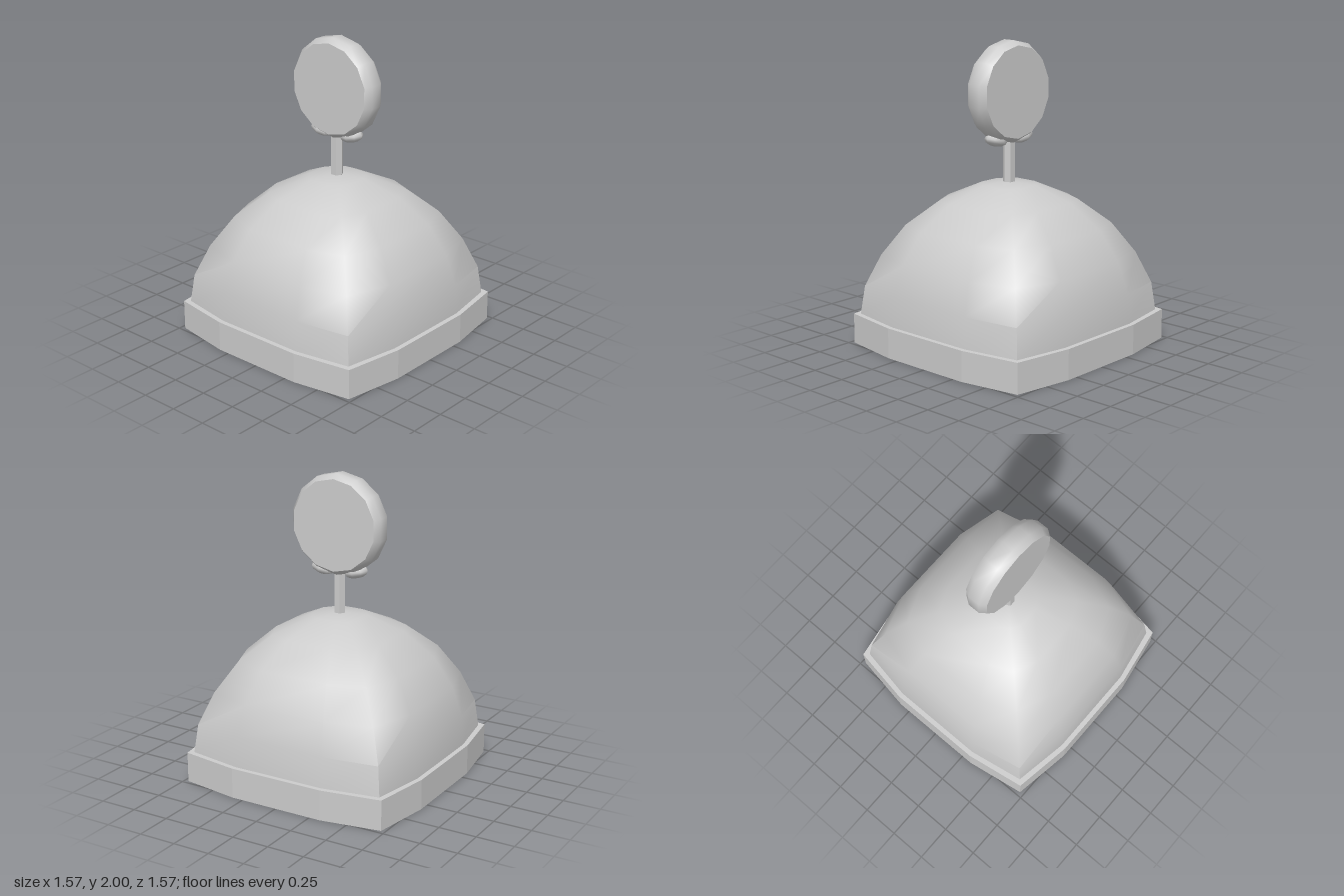
import * as THREE from 'three';
import { toCreasedNormals } from 'three/addons/utils/BufferGeometryUtils.js';

// Twelve-sided bulged square as [x, z]: m = mid-side reach, c = corner reach, w = half width of the mid side
function bulgedSquare(m, c, w) {
  const pts = [];
  for (let i = 0; i < 4; i++) {
    const cos = Math.round(Math.cos(i * Math.PI / 2));
    const sin = Math.round(Math.sin(i * Math.PI / 2));
    for (const [x, z] of [[-w, m], [w, m], [c, c]]) {
      pts.push([x * cos + z * sin, -x * sin + z * cos]);
    }
  }
  return pts;
}

// Dome skinned over bulged square rings, closed by an apex
function domeGeometry() {
  // [mid height, mid reach, corner reach, corner height]
  const rings = [
    [0.2, 0.755, 0.69, 0.2], [0.4, 0.742, 0.668, 0.39], [0.6, 0.683, 0.59, 0.6],
    [0.8, 0.568, 0.475, 0.8], [0.965, 0.387, 0.318, 0.96], [1.068, 0.168, 0.13, 1.066],
  ];
  const n = 12, pos = [], idx = [];
  for (const [y, m, c, cy] of rings) {
    bulgedSquare(m, c, m * 0.424).forEach(([x, z], i) => pos.push(x, i % 3 === 2 ? cy : y, z));
  }
  pos.push(0, 1.086, 0);
  const apex = rings.length * n;
  for (let i = 0; i < n; i++) {
    const k = (i + 1) % n;
    for (let r = 0; r < rings.length - 1; r++) {
      const a = r * n + i, b = r * n + k;
      idx.push(a, b, b + n, a, b + n, a + n);
    }
    idx.push(apex - n + i, apex - n + k, apex);
  }
  const g = new THREE.BufferGeometry();
  g.setAttribute('position', new THREE.Float32BufferAttribute(pos, 3));
  g.setIndex(idx);
  return toCreasedNormals(g, Math.PI / 3);
}

export function createModel() {
  const model = new THREE.Group();
  const grey = new THREE.MeshStandardMaterial({ color: 0xcccccc });
  grey.name = 'light grey';
  const add = (name, geometry) => {
    const mesh = new THREE.Mesh(geometry, grey);
    mesh.name = name;
    model.add(mesh);
    return mesh;
  };

  // Flat plinth
  const outline = bulgedSquare(0.787, 0.722, 0.325).map(([x, z]) => new THREE.Vector2(x, -z));
  const plinth = new THREE.ExtrudeGeometry(new THREE.Shape(outline), { depth: 0.2, bevelEnabled: false });
  plinth.rotateX(-Math.PI / 2);
  add('base', plinth);

  add('dome', domeGeometry());

  // Hexagonal post
  add('post', new THREE.CylinderGeometry(0.04, 0.04, 0.34, 6).toNonIndexed())
    .position.y = 1.23;
  const post = model.getObjectByName('post');
  post.geometry = toCreasedNormals(post.geometry, 0.5);

  // Upright disc with a bevelled rim, facing sideways
  const profile = [[0, -0.082], [0.3, -0.082], [0.33, -0.04], [0.33, 0.04], [0.3, 0.082], [0, 0.082]]
    .map(([r, y]) => new THREE.Vector2(r, y));
  const disc = new THREE.LatheGeometry(profile, 14, Math.PI / 2);
  disc.rotateZ(-Math.PI / 2);
  add('disc', toCreasedNormals(disc, Math.PI / 4)).position.y = 1.67;

  // Small rounded knobs under the disc, front and back
  for (const side of [-1, 1]) {
    const knob = add(side > 0 ? 'frontKnob' : 'backKnob', new THREE.SphereGeometry(1, 8, 6));
    knob.scale.set(0.065, 0.042, 0.085);
    knob.position.set(0, 1.368, side * 0.123);
    knob.rotation.x = -side * 0.22;
  }

  return model;
}
